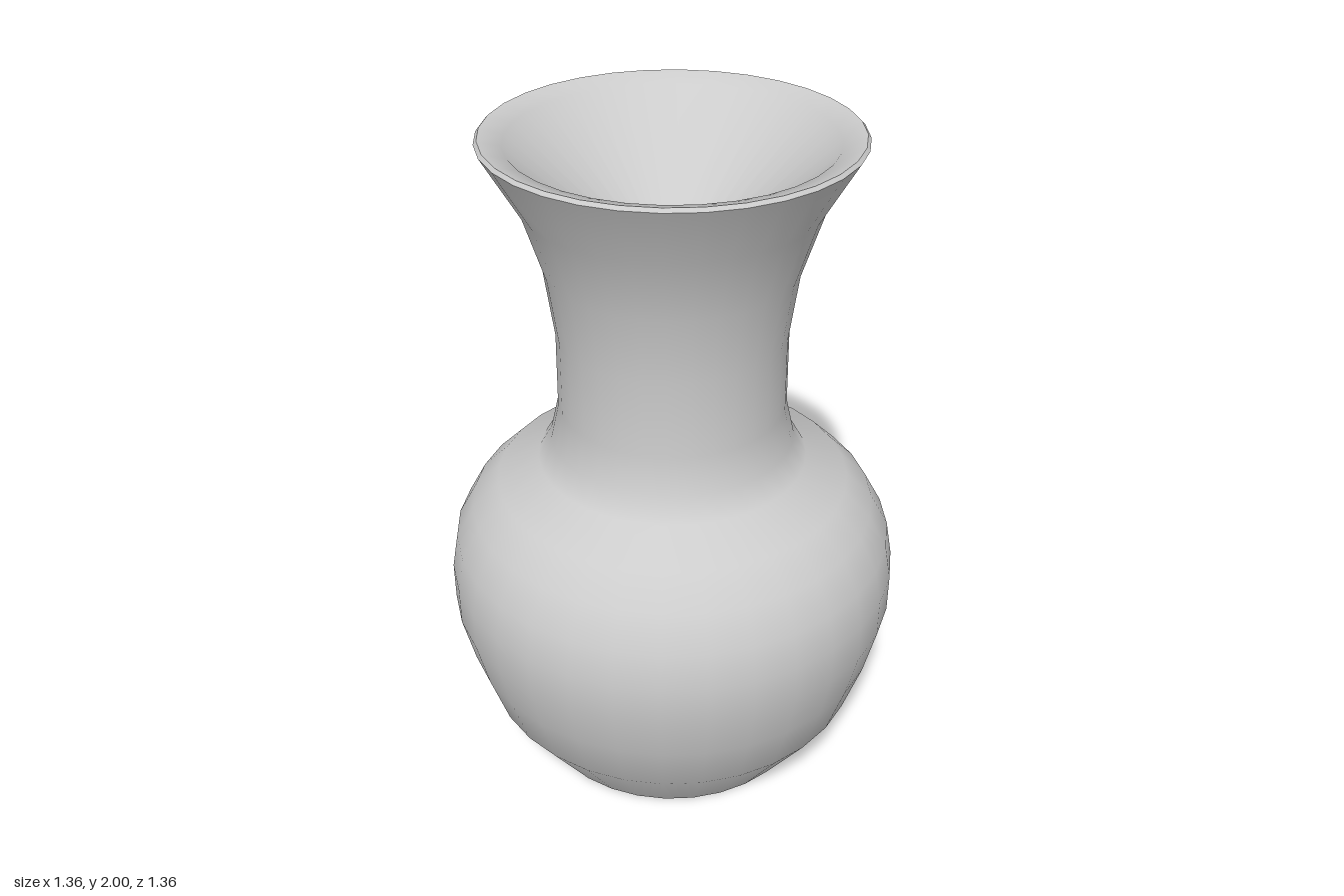
import * as THREE from 'three';

const SEGMENTS = 32;

// One revolved surface; separate profiles keep the edges between them sharp.
function lathe(name, profile, material) {
  const points = profile.map(([r, y]) => new THREE.Vector2(r, y));
  const mesh = new THREE.Mesh(new THREE.LatheGeometry(points, SEGMENTS), material);
  mesh.name = name;
  return mesh;
}

export function createModel() {
  const group = new THREE.Group();
  group.name = 'vase';
  const material = new THREE.MeshStandardMaterial({ color: 0xcccccc, side: THREE.DoubleSide });

  // flat underside
  group.add(lathe('base', [[0, 0], [0.445, 0]], material));

  // bulging belly, narrow neck and flared mouth
  group.add(lathe('body', [
    [0.445, 0], [0.59, 0.21], [0.645, 0.38], [0.68, 0.53], [0.68, 0.65],
    [0.66, 0.76], [0.605, 0.86], [0.525, 0.94], [0.4, 1.01], [0.36, 1.08],
    [0.335, 1.19], [0.333, 1.42], [0.36, 1.62], [0.42, 1.81], [0.523, 1.99],
  ], material));

  // thin bevelled lip
  group.add(lathe('lip', [[0.523, 1.99], [0.514, 2]], material));

  // shallow funnel inside the mouth
  group.add(lathe('funnel', [[0.514, 2], [0.45, 1.98], [0.035, 1.6]], material));

  // small floor of the funnel
  group.add(lathe('funnelFloor', [[0.035, 1.6], [0, 1.6]], material));

  return group;
}
